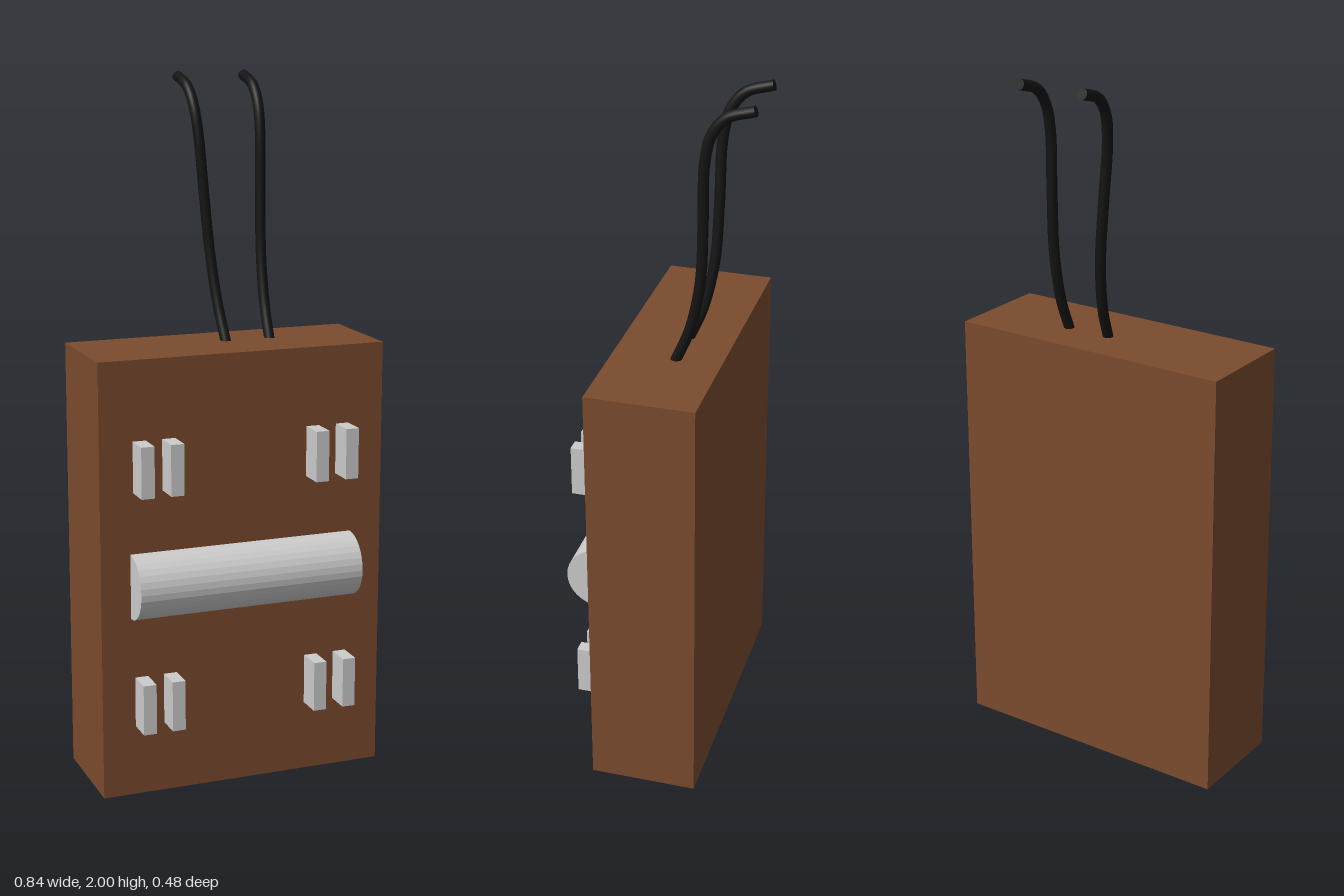
import * as THREE from 'three';

const FRONT = 0.147, BACK = -0.16, HEIGHT = 1.255;

export function createModel() {
  const group = new THREE.Group();
  const grey = new THREE.MeshStandardMaterial({ color: 0xcccccc, flatShading: true });
  const brown = new THREE.MeshStandardMaterial({ color: 0x7a4b2d });
  const black = new THREE.MeshStandardMaterial({ color: 0x141414 });

  const add = (name, geometry, material, x, y, z) => {
    const mesh = new THREE.Mesh(geometry, material);
    mesh.name = name;
    mesh.position.set(x, y, z);
    group.add(mesh);
    return mesh;
  };

  // Main block
  add('body', new THREE.BoxGeometry(0.842, HEIGHT, FRONT - BACK), brown,
    0, HEIGHT / 2, (FRONT + BACK) / 2);

  // Horizontal bar, sunk halfway into the front face
  const bar = add('bar', new THREE.CylinderGeometry(0.093, 0.093, 0.662, 32), grey,
    -0.004, 0.617, FRONT);
  bar.rotation.z = Math.PI / 2;

  // Paired contact tabs above and below the bar
  const tab = new THREE.BoxGeometry(0.038, 0.145, 0.075);
  for (const y of [0.277, 0.957]) {
    for (const x of [-0.306, -0.221, 0.208, 0.298]) {
      add('tab', tab, grey, x, y, FRONT + 0.0365);
    }
  }

  // Bent wires leaving the top; each leans sideways evenly with height
  const bend = [
    [1.25, -0.029], [1.35, -0.069], [1.49, -0.097], [1.66, -0.104],
    [1.83, -0.107], [1.91, -0.125], [1.96, -0.165], [1.985, -0.24],
  ];
  const addWire = (name, x0, x1) => {
    const points = bend.map(([y, z]) => new THREE.Vector3(
      THREE.MathUtils.mapLinear(y, 1.25, 1.985, x0, x1), y, z));
    const curve = new THREE.CatmullRomCurve3(points);
    const wire = add(name, new THREE.TubeGeometry(curve, 48, 0.015, 12), black, 0, 0, 0);
    // Flat end caps
    for (const t of [0, 1]) {
      const cap = new THREE.Mesh(new THREE.CircleGeometry(0.015, 12), black);
      cap.name = 'wireEnd';
      const p = curve.getPointAt(t);
      cap.position.copy(p);
      cap.lookAt(p.clone().addScaledVector(curve.getTangentAt(t), t ? 1 : -1));
      wire.add(cap);
    }
  };
  addWire('leftWire', 0.147, 0.147);
  addWire('rightWire', 0.014, -0.053);

  return group;
}
